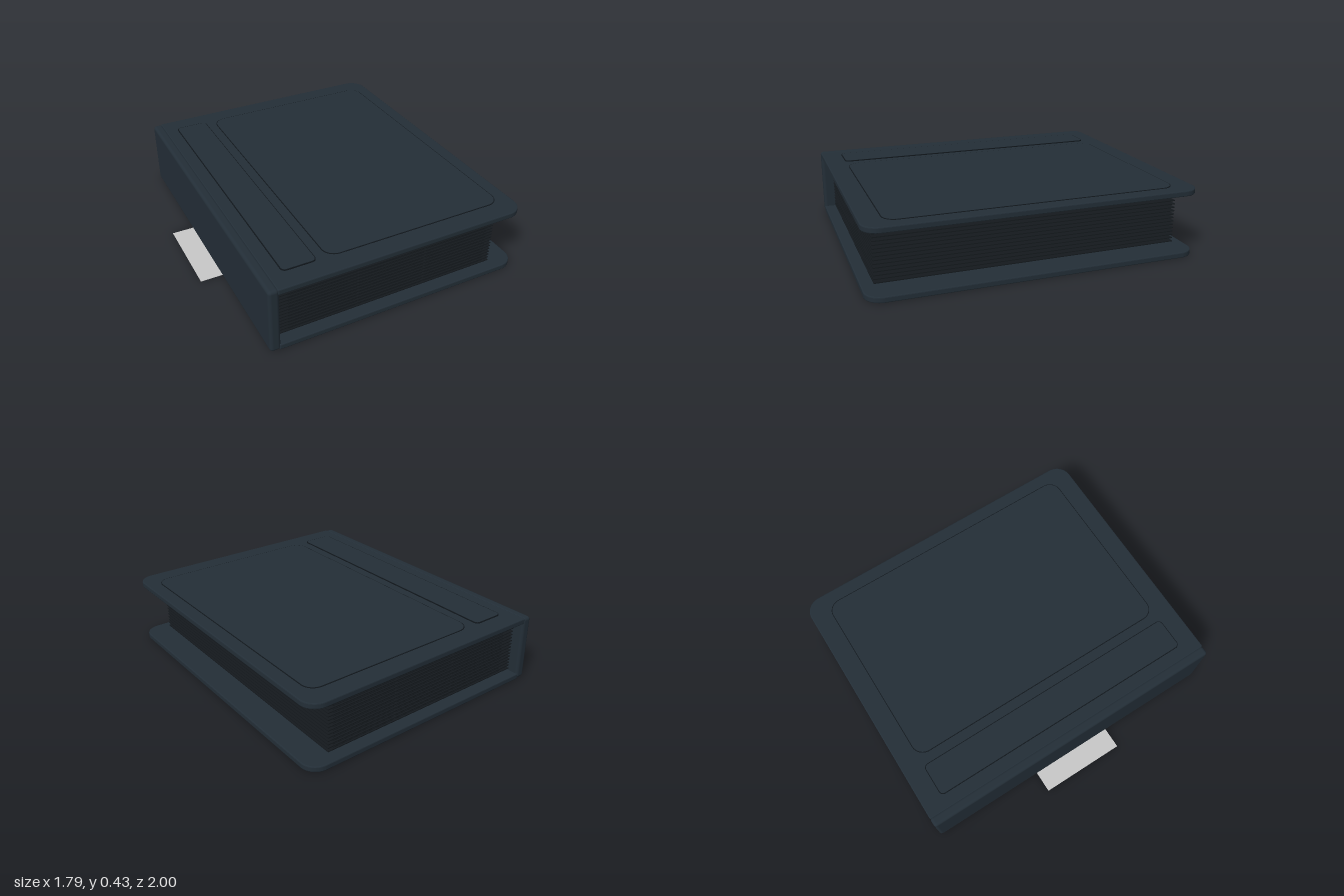
import * as THREE from 'three';
import { RoundedBoxGeometry } from 'three/addons/geometries/RoundedBoxGeometry.js';

const paint = (name, color) => {
  const m = new THREE.MeshStandardMaterial({ color });
  m.name = name;
  return m;
};

// Rectangle with its own radius on the left and right corners
function roundedRect(x0, x1, z, rl, rr) {
  const s = new THREE.Shape();
  s.moveTo(x0 + rl, -z);
  s.lineTo(x1 - rr, -z);
  s.absarc(x1 - rr, -z + rr, rr, -Math.PI / 2, 0);
  s.absarc(x1 - rr, z - rr, rr, 0, Math.PI / 2);
  s.absarc(x0 + rl, z - rl, rl, Math.PI / 2, Math.PI);
  s.absarc(x0 + rl, -z + rl, rl, Math.PI, Math.PI * 1.5);
  return s;
}

// Flat slab lying between y0 and y1
function slab(shape, y0, y1, bevel = 0) {
  const g = new THREE.ExtrudeGeometry(shape, {
    depth: y1 - y0 - 2 * bevel, curveSegments: 10, bevelEnabled: bevel > 0,
    bevelSize: bevel, bevelThickness: bevel, bevelOffset: -bevel, bevelSegments: 2,
  });
  g.rotateX(-Math.PI / 2);
  g.translate(0, y0 + bevel, 0);
  return g;
}

export function createModel() {
  const cover = paint('slate cover', 0x232e37);
  const trim = paint('dark seam', 0x11171c);
  const page = paint('black page', 0x14191d);
  const label = paint('pale label', 0xc8c8c8);

  const model = new THREE.Group();
  model.name = 'binder';
  const add = (name, geometry, material, parent = model) => {
    const mesh = new THREE.Mesh(geometry, material);
    mesh.name = name;
    parent.add(mesh);
    return mesh;
  };

  // Covers and spine
  const board = roundedRect(-0.71, 0.895, 1, 0.01, 0.1);
  add('bottomCover', slab(board, 0, 0.035, 0.006), cover);
  add('topCover', slab(board, 0.387, 0.422, 0.006), cover);
  add('spine', new RoundedBoxGeometry(0.065, 0.422, 2, 3, 0.02), cover).position.set(-0.7325, 0.211, 0);

  // Raised panels on the top cover, each with a dark seam around it
  const panels = [
    ['spinePanel', -0.63, -0.42, 0.03, 0.429],
    ['frontPanel', -0.36, 0.81, 0.08, 0.426],
  ];
  for (const [name, x0, x1, r, top] of panels) {
    add(name + 'Seam', slab(roundedRect(x0, x1, 0.876, r, r), 0.42, top - 0.001), trim);
    add(name, slab(roundedRect(x0 + 0.005, x1 - 0.005, 0.871, r - 0.005, r - 0.005), 0.421, top), cover);
  }

  // Pages, each with a three by three grid of pockets on both faces
  const pages = new THREE.Group();
  pages.name = 'pages';
  model.add(pages);
  const sheetGeo = new THREE.BoxGeometry(1.435, 0.006, 1.86);
  const pocketGeo = new THREE.BoxGeometry(0.43, 0.014, 0.606);
  const count = 16;
  for (let i = 0; i < count; i++) {
    const y = 0.047 + (i * 0.329) / (count - 1);
    add('page', sheetGeo, page, pages).position.set(0.0175, y, 0);
    for (const x of [-0.405, 0.035, 0.48]) {
      for (const z of [-0.617, 0, 0.617]) add('pocket', pocketGeo, page, pages).position.set(x, y, z);
    }
  }

  // Label card sticking out under the spine
  add('labelCard', new THREE.BoxGeometry(0.4, 0.002, 0.545), label).position.set(-0.7, 0.002, 0);

  return model;
}
